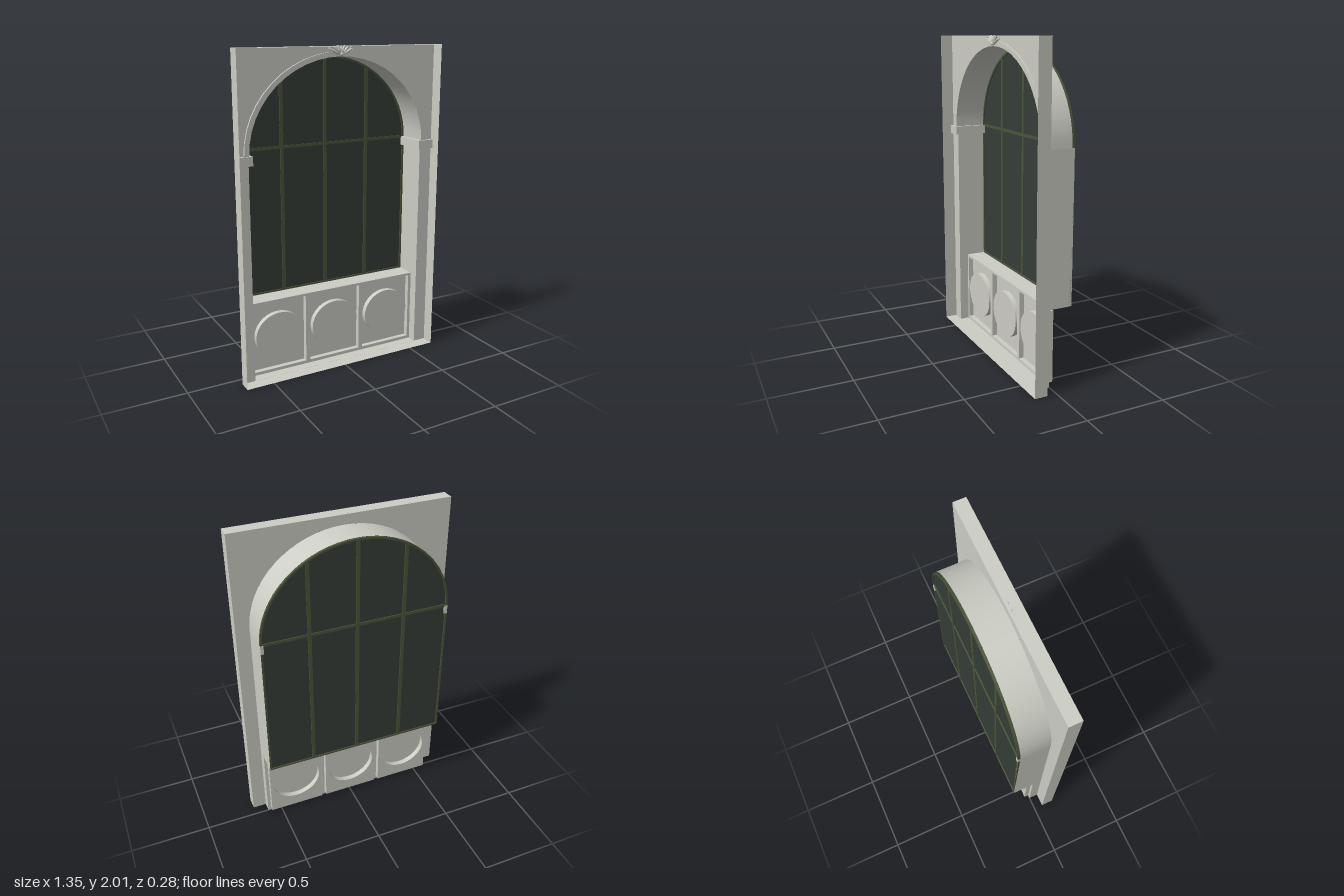
import * as THREE from 'three';

const W = 0.675, H = 2, R = 0.59, RY = 0.54, SPRING = 1.4, SILL = 0.48;
const FRONT = 0.14, WALL = 0.06, BASE = 0, GLASS = -0.125, BACK = -0.14;

const stone = new THREE.MeshStandardMaterial({ color: 0xcccdc4, side: THREE.DoubleSide });
stone.name = 'pale stone';
const frameGreen = new THREE.MeshStandardMaterial({ color: 0x4a5439 });
frameGreen.name = 'frame green';
const darkGlass = new THREE.MeshStandardMaterial({ color: 0x353d37, side: THREE.DoubleSide });
darkGlass.name = 'dark glass';

// points round an ellipse, counter-clockwise
function ellipse(cx, cy, rx, ry, a0, a1, n) {
  const pts = [];
  for (let i = 0; i <= n; i++) {
    const a = a0 + (a1 - a0) * i / n;
    pts.push(new THREE.Vector2(cx + rx * Math.cos(a), cy + ry * Math.sin(a)));
  }
  return pts;
}
const arch = (rx, ry, n = 24) => ellipse(0, SPRING, rx, ry, 0, Math.PI, n);
const archDoor = (rx, ry, bottom) =>
  [new THREE.Vector2(-rx, bottom), new THREE.Vector2(rx, bottom), ...arch(rx, ry)];
const rect = (x0, y0, x1, y1) =>
  [[x0, y0], [x1, y0], [x1, y1], [x0, y1]].map(p => new THREE.Vector2(...p));

function shapeOf(outline, holes = []) {
  const s = new THREE.Shape(outline);
  s.holes = holes.map(h => new THREE.Path(h));
  return s;
}

// flat sheet facing the front at depth z
const sheet = (z, outline, holes) =>
  new THREE.ShapeGeometry(shapeOf(outline, holes)).translate(0, 0, z);

// solid plate between two depths
const plate = (z0, z1, outline, holes) =>
  new THREE.ExtrudeGeometry(shapeOf(outline, holes), { depth: z1 - z0, bevelEnabled: false })
    .translate(0, 0, z0);

// band swept in z along a line of points
function ribbon(pts, z0, z1, smooth = false) {
  const pos = [], idx = [];
  pts.forEach((p, i) => {
    pos.push(p.x, p.y, z0, p.x, p.y, z1);
    if (i) {
      const k = 2 * i - 2;
      idx.push(k, k + 2, k + 1, k + 1, k + 2, k + 3);
    }
  });
  let g = new THREE.BufferGeometry();
  g.setAttribute('position', new THREE.Float32BufferAttribute(pos, 3));
  g.setIndex(idx);
  if (!smooth) g = g.toNonIndexed();
  g.computeVertexNormals();
  return g;
}

function box(x0, x1, y0, y1, z0, z1) {
  return new THREE.BoxGeometry(x1 - x0, y1 - y0, z1 - z0)
    .translate((x0 + x1) / 2, (y0 + y1) / 2, (z0 + z1) / 2);
}

export function createModel() {
  const root = new THREE.Group();
  root.name = 'archedWindowBay';
  const add = (name, geo, mat = stone, parent = root) => {
    const m = new THREE.Mesh(geo, mat);
    m.name = name;
    parent.add(m);
    return m;
  };
  const closed = pts => [...pts, pts[0]];

  // wall set back inside a shallow surround that is open at the front
  const opening = [new THREE.Vector2(-R, 0.0005), new THREE.Vector2(R, 0.0005),
    new THREE.Vector2(R, SPRING), ...arch(0.62, 0.57), new THREE.Vector2(-R, SPRING)];
  add('wall', sheet(WALL, rect(-W, 0, W, H), [opening]));
  add('surround', ribbon(closed(rect(-W, 0, W, H)), WALL, FRONT));
  add('floor', ribbon([new THREE.Vector2(-R, 0), new THREE.Vector2(R, 0)], BASE, WALL));

  // arch moulding and tunnel
  add('archMoulding', plate(WALL, WALL + 0.012,
    [...arch(0.62, 0.57), ...arch(R, RY).reverse()]));
  add('archTunnel', ribbon(arch(R, RY, 32), GLASS, WALL, true));

  // side walls of the recess, and impost blocks at the spring of the arch
  for (const s of [-1, 1]) {
    const side = s > 0 ? 'left' : 'right';
    const line = (y0, y1) => [new THREE.Vector2(s * R, y0), new THREE.Vector2(s * R, y1)];
    add(side + 'LowerJamb', ribbon(line(0, SILL), BASE, WALL));
    add(side + 'UpperJamb', ribbon(line(SILL, SPRING), BACK, WALL));
    const xs = (a, b) => s > 0 ? [a, b] : [-b, -a];
    add(side + 'ImpostFront', box(...xs(0.57, W), 1.345, SPRING, WALL, 0.08));
    add(side + 'ImpostReturn', box(...xs(0.57, R), 1.345, SPRING, -0.141, WALL));
  }

  // sill and base with three sunken panels, each with a raised disc
  add('sill', ribbon([new THREE.Vector2(-R, SILL), new THREE.Vector2(R, SILL)], BACK, BASE));
  const panels = [-0.39, 0, 0.39].map(cx => ({
    cx, edge: rect(cx - 0.18, 0.02, cx + 0.18, 0.465),
    disc: ellipse(cx, 0.243, 0.162, 0.148, 0, Math.PI * 2, 40),
  }));
  add('base', sheet(BASE, rect(-R, 0, R, SILL), panels.map(p => p.edge)));
  const sunk = -0.032, raised = 0.002;
  panels.forEach((p, i) => {
    const g = new THREE.Group();
    g.name = 'basePanel' + (i + 1);
    root.add(g);
    const disc = p.disc.slice(0, -1);
    add('panelEdge', ribbon(closed(p.edge), sunk, BASE), stone, g);
    add('panelField', sheet(sunk, p.edge, [disc]), stone, g);
    add('discEdge', ribbon(p.disc, sunk, raised, true), stone, g);
    add('discFace', sheet(raised, disc), stone, g);
  });

  // glazing with frame and bars
  add('glass', sheet(-0.1325, archDoor(R - 0.004, RY - 0.004, SILL + 0.002)), darkGlass);
  add('windowFrame', plate(BACK, GLASS, archDoor(R, RY, SILL),
    [archDoor(R - 0.012, RY - 0.012, SILL + 0.01)]), frameGreen);
  for (const x of [-0.297, 0, 0.297]) {
    const top = SPRING + RY * Math.sqrt(1 - (x / R) ** 2) - 0.006;
    add('uprightBar', box(x - 0.011, x + 0.011, SILL + 0.002, top, BACK + 0.001, GLASS - 0.001), frameGreen);
  }
  add('crossBar', box(-R + 0.004, R - 0.004, SPRING - 0.009, SPRING + 0.009, BACK + 0.0015, GLASS - 0.0015), frameGreen);

  // carved leaf ornament at the crown of the arch
  const crown = new THREE.Group();
  crown.name = 'crownOrnament';
  root.add(crown);
  for (let i = -3; i <= 3; i++) {
    const angle = i * 0.36, len = 0.026 + 0.005 * Math.abs(i);
    const leaf = add('leaf', new THREE.SphereGeometry(1, 10, 8), stone, crown);
    leaf.scale.set(0.0085, len, 0.009);
    leaf.rotation.z = -angle;
    leaf.position.set(Math.sin(angle) * len * 1.1, 1.947 + Math.cos(angle) * len, 0.076);
  }
  for (const s of [-1, 1]) {
    const curl = add('curl', new THREE.TorusGeometry(0.009, 0.004, 6, 12), stone, crown);
    curl.position.set(s * 0.07, 1.985, 0.074);
  }
  const bud = add('bud', new THREE.SphereGeometry(0.011, 10, 8), stone, crown);
  bud.position.set(0, 1.953, 0.08);

  return root;
}
